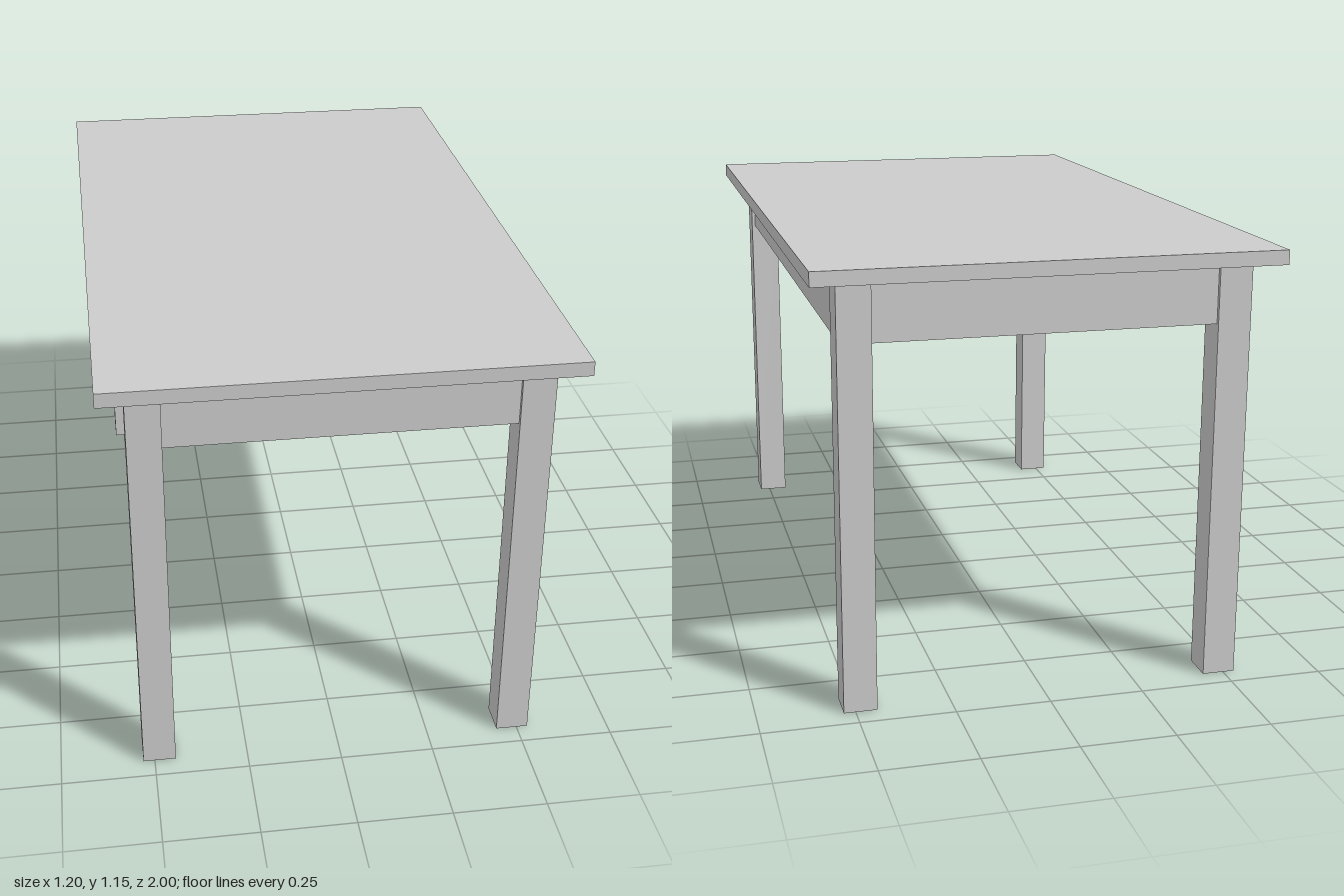
import * as THREE from 'three';

const material = new THREE.MeshStandardMaterial({ color: 0xcccccc, flatShading: true });

// Box given by its size, centre and underside height
function addBox(group, name, [w, h, d], [x, bottom, z]) {
  const mesh = new THREE.Mesh(new THREE.BoxGeometry(w, h, d), material);
  mesh.name = name;
  mesh.position.set(x, bottom + h / 2, z);
  group.add(mesh);
}

export function createModel() {
  const group = new THREE.Group();
  group.name = 'table';

  const legHeight = 1.117, leg = 0.087;
  const legX = 0.487, legZ = 0.898; // leg centres
  const apronHeight = 0.157, apronThickness = 0.067;
  const apronBottom = legHeight - apronHeight;

  // Table top
  addBox(group, 'tableTop', [1.2, 0.038, 2], [0, legHeight, 0]);

  for (const s of [-1, 1]) {
    const side = s > 0 ? 'left' : 'right';
    const end = s > 0 ? 'front' : 'back';

    // Legs
    addBox(group, side + 'FrontLeg', [leg, legHeight, leg], [s * legX, 0, legZ]);
    addBox(group, side + 'BackLeg', [leg, legHeight, leg], [s * legX, 0, -legZ]);

    // Aprons between the legs, set slightly in from the leg faces
    addBox(group, side + 'Apron', [apronThickness, apronHeight, 2 * legZ - leg], [s * legX, apronBottom, 0]);
    addBox(group, end + 'Apron', [2 * legX - leg, apronHeight, apronThickness], [0, apronBottom, s * legZ]);
  }
  return group;
}
